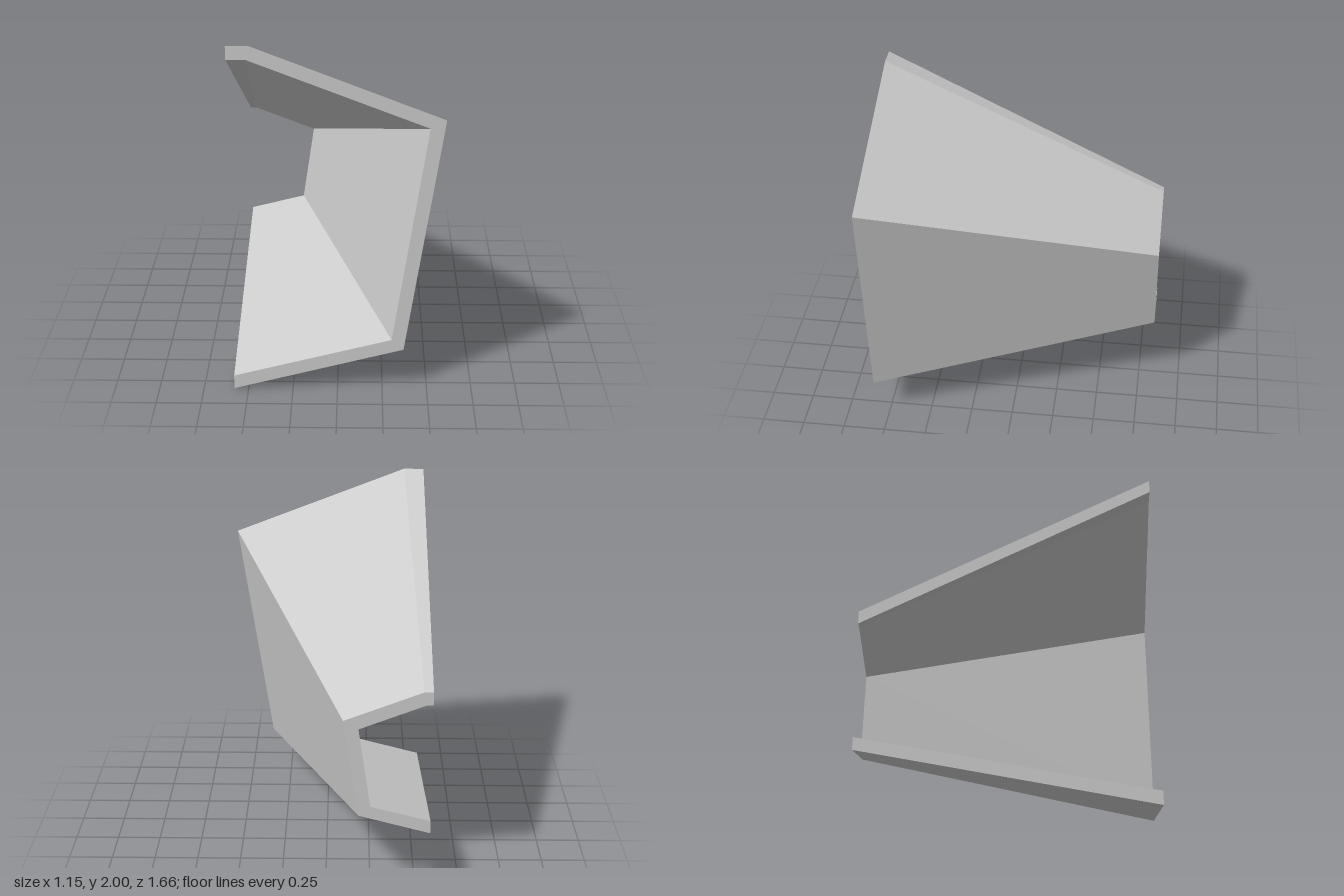
import * as THREE from 'three';

const HALF_DEPTH = 0.83;
const LEFT = -0.58;

// Matching cross-sections, listed from the top free edge round to the bottom one
const frontOuter = [[LEFT, 2], [-0.46, 2], [0.575, 1.6], [0.367, 0.25], [LEFT, 0]];
const frontInner = [[LEFT, 1.925], [-0.476, 1.925], [0.49, 1.553], [0.3, 0.31], [LEFT, 0.08]];
const backInner = [[LEFT, 1.105], [-0.545, 1.105], [-0.178, 0.963], [-0.247, 0.5], [LEFT, 0.415]];

// The outer outline tapers evenly towards the back
const TAPER = 0.42;
const backOuter = frontOuter.map(([x, y]) => [LEFT + (x - LEFT) * TAPER, 0.34 + y * TAPER]);

function shellGeometry() {
  const positions = [];
  const quad = (a, b, c, d) => positions.push(...a, ...b, ...c, ...a, ...c, ...d);
  const at = (points, z) => points.map(([x, y]) => [x, y, z]);
  const fo = at(frontOuter, HALF_DEPTH), fi = at(frontInner, HALF_DEPTH);
  const bo = at(backOuter, -HALF_DEPTH), bi = at(backInner, -HALF_DEPTH);

  // Front and back rims
  for (let i = 0; i < fo.length - 1; i++) {
    quad(fo[i], fi[i], fi[i + 1], fo[i + 1]);
    quad(bo[i], bo[i + 1], bi[i + 1], bi[i]);
  }

  // Outer walls, free edges and inner walls as one closed loop
  const front = [...fo, ...fi.reverse()];
  const back = [...bo, ...bi.reverse()];
  for (let i = 0; i < front.length; i++) {
    const j = (i + 1) % front.length;
    quad(front[i], front[j], back[j], back[i]);
  }

  const geometry = new THREE.BufferGeometry();
  geometry.setAttribute('position', new THREE.Float32BufferAttribute(positions, 3));
  geometry.computeVertexNormals();
  return geometry;
}

export function createModel() {
  const group = new THREE.Group();
  group.name = 'taperedFoldedPanel';
  const lightGrey = new THREE.MeshStandardMaterial({ color: 0xcccccc });
  lightGrey.name = 'light grey';
  const shell = new THREE.Mesh(shellGeometry(), lightGrey);
  shell.name = 'foldedShell';
  group.add(shell);
  return group;
}
